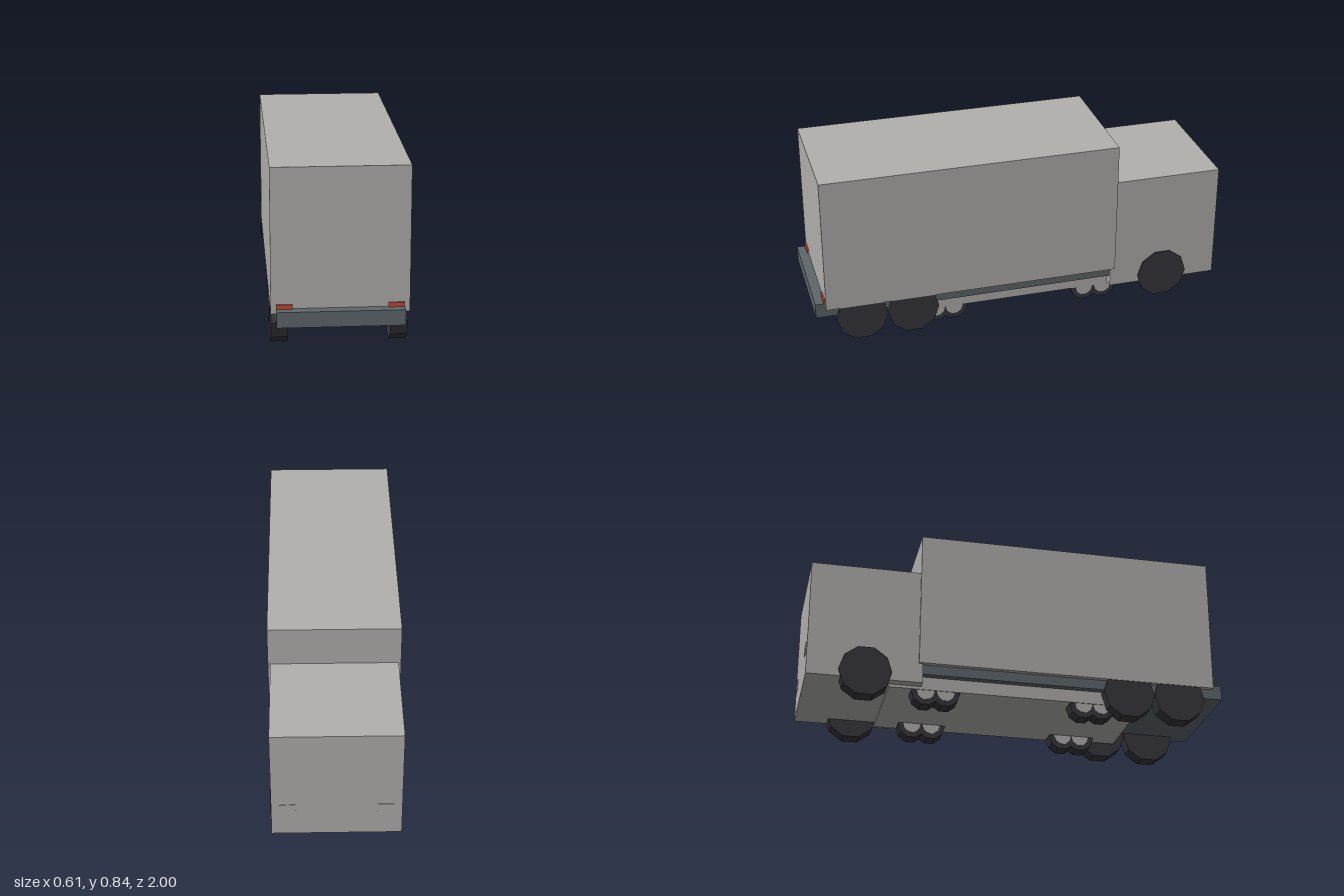
import * as THREE from 'three';

const material = (name, color) => {
  const m = new THREE.MeshStandardMaterial({ color });
  m.name = name;
  return m;
};

export function createModel() {
  const truck = new THREE.Group();
  truck.name = 'boxTruck';
  const body = material('bodyGrey', 0xb2b0ad);
  const slate = material('chassisSlate', 0x5f676b);
  const rubber = material('tyreBlack', 0x38373d);
  const red = material('lightRed', 0xc44a38);

  // Box given by its minimum and maximum on each axis
  const box = (name, mat, [x0, x1], [y0, y1], [z0, z1]) => {
    const mesh = new THREE.Mesh(new THREE.BoxGeometry(x1 - x0, y1 - y0, z1 - z0), mat);
    mesh.position.set((x0 + x1) / 2, (y0 + y1) / 2, (z0 + z1) / 2);
    mesh.name = name;
    truck.add(mesh);
  };

  // Faceted disc lying across x, with a flat side on the ground
  const disc = (name, mats, r, width, sides, x, y, z) => {
    const geo = new THREE.CylinderGeometry(r, r, width, sides).toNonIndexed();
    geo.rotateZ(Math.PI / 2);
    geo.rotateX(sides % 4 === 0 ? Math.PI / sides : 0);
    geo.computeVertexNormals();
    const mesh = new THREE.Mesh(geo, mats);
    mesh.position.set(x, y, z);
    mesh.name = name;
    truck.add(mesh);
  };

  // Main masses
  box('cargoBox', body, [-0.306, 0.306], [0.183, 0.847], [-0.477, 0.953]);
  box('cab', body, [-0.295, 0.295], [0.086, 0.655], [-0.997, -0.457]);
  box('chassis', slate, [-0.283, 0.283], [0.135, 0.207], [-0.47, 1.0]);
  box('underbody', body, [-0.25, 0.25], [0.072, 0.14], [-0.61, 0.6]);

  for (const [label, s] of [['left', 1], ['right', -1]]) {
    const span = (a, b) => (s > 0 ? [a, b] : [-b, -a]);

    // Lamps at both ends
    box(label + 'TailLight', red, span(0.21, 0.283), [0.2, 0.227], [0.952, 0.961]);
    box(label + 'HeadLamp', body, span(0.184, 0.258), [0.212, 0.26], [-1.0, -0.996]);

    // Large road wheels
    for (const z of [-0.725, 0.533, 0.781])
      disc(label + 'Wheel', rubber, 0.124, 0.075, 10, s * 0.2655, 0.121, z);

    // Small paired wheels with pale hubs
    for (const z of [-0.435, -0.34, 0.322, 0.41]) {
      disc(label + 'SmallWheel', rubber, 0.068, 0.074, 10, s * 0.207, 0.067, z);
      disc(label + 'SmallHub', body, 0.042, 0.078, 10, s * 0.207, 0.067, z);
    }
  }
  return truck;
}
